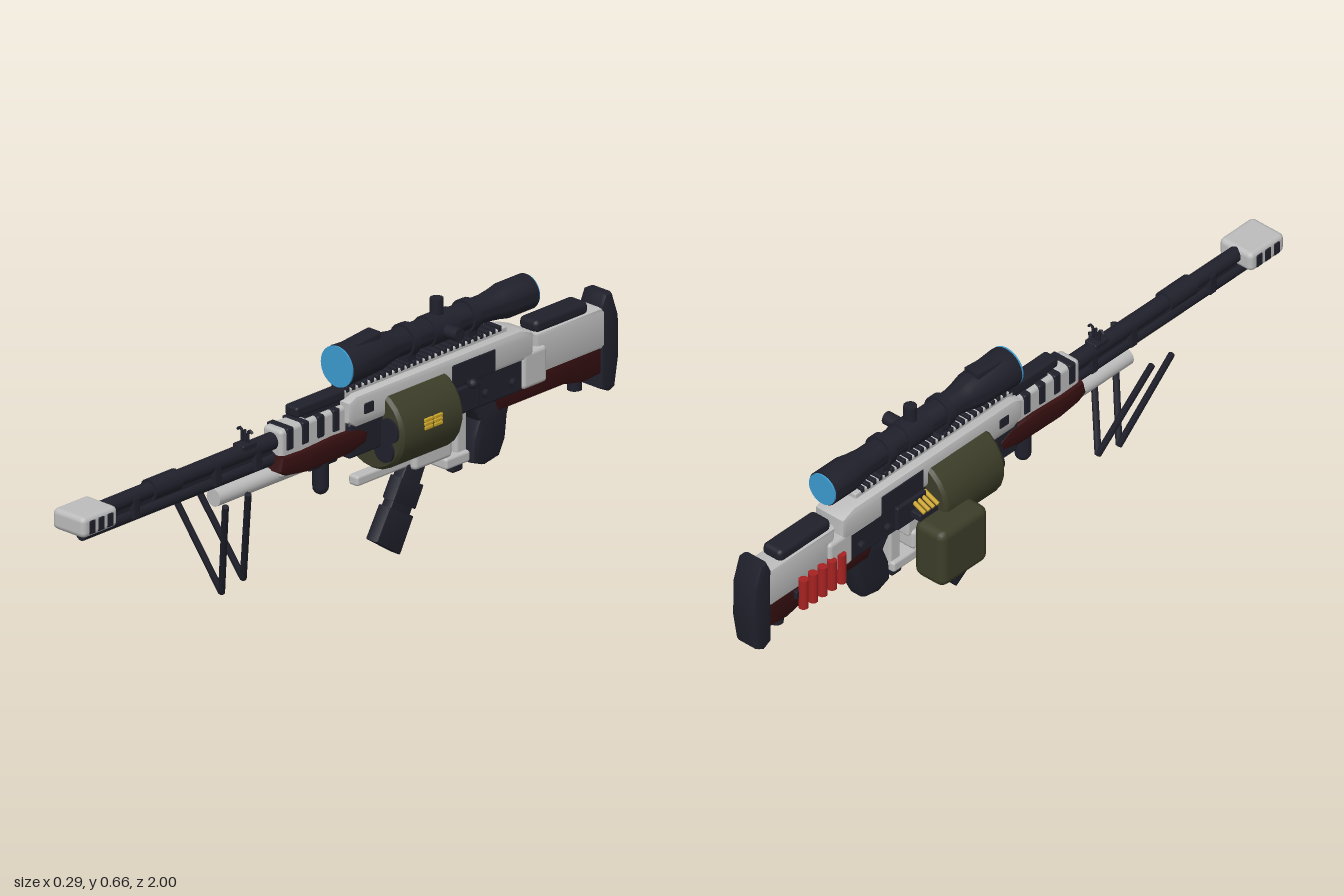
import * as THREE from 'three';
import { RoundedBoxGeometry } from 'three/addons/geometries/RoundedBoxGeometry.js';
import { toCreasedNormals } from 'three/addons/utils/BufferGeometryUtils.js';

const mat = (name, color) => {
  const m = new THREE.MeshStandardMaterial({ color });
  m.name = name;
  return m;
};

export function createModel() {
  const dark = mat('dark metal', 0x20202c);
  const white = mat('light grey shell', 0xbcbcbc);
  const green = mat('olive', 0x3c3d28);
  const wine = mat('dark red grip', 0x350f10);
  const red = mat('red shells', 0xa82222);
  const blue = mat('blue glass', 0x3c9bd0);
  const gold = mat('gold', 0xc9a227);

  const model = new THREE.Group();
  model.name = 'toyLongArm';
  const body = new THREE.Group();
  body.name = 'body';
  body.position.x = 0.026; // the centre line sits slightly to one side
  model.add(body);

  const add = (name, geo, m, x = 0, y = 0, z = 0) => {
    const mesh = new THREE.Mesh(geo, m);
    mesh.name = name;
    mesh.position.set(x, y, z);
    body.add(mesh);
    return mesh;
  };
  // rounded box from x centre, width, and y / z limits
  const box = (name, m, x, w, y0, y1, z0, z1, r = 0.008) => {
    const h = y1 - y0, d = Math.abs(z1 - z0);
    const rr = Math.min(r, w * 0.45, h * 0.45, d * 0.45);
    return add(name, new RoundedBoxGeometry(w, h, d, 2, rr), m, x, (y0 + y1) / 2, (z0 + z1) / 2);
  };
  // cylinder along z
  const tube = (name, m, y, z0, z1, r0, r1 = r0, x = 0, seg = 20) =>
    add(name, new THREE.CylinderGeometry(r1, r0, Math.abs(z1 - z0), seg).rotateX(Math.PI / 2), m, x, y, (z0 + z1) / 2);
  // side profile of [z, y] points, extruded across x with a bevel
  const slab = (name, m, w, pts, b = 0.008) => {
    const s = new THREE.Shape(pts.map(p => new THREE.Vector2(p[0], p[1])));
    const g = new THREE.ExtrudeGeometry(s, {
      depth: w - 2 * b, bevelThickness: b, bevelSize: b, bevelOffset: -b, bevelSegments: 2
    });
    g.translate(0, 0, b - w / 2).rotateY(-Math.PI / 2);
    return add(name, toCreasedNormals(g, 0.6), m);
  };
  // round rod between two points
  const rod = (name, m, a, b, r) => {
    const p = new THREE.Vector3(...a), q = new THREE.Vector3(...b);
    const mesh = add(name, new THREE.CylinderGeometry(r, r, p.distanceTo(q), 10), m);
    mesh.position.copy(p).add(q).multiplyScalar(0.5);
    mesh.quaternion.setFromUnitVectors(new THREE.Vector3(0, 1, 0), q.sub(p).normalize());
    return mesh;
  };

  // muzzle block with side slots
  box('muzzleBlock', white, 0, 0.114, 0.416, 0.474, 0.87, 1.0, 0.015);
  for (const s of [-1, 1])
    for (let i = 0; i < 3; i++) box('muzzleSlot', dark, s * 0.056, 0.007, 0.425, 0.462, 0.89 + i * 0.033, 0.912 + i * 0.033, 0.003);

  // front tubes
  tube('upperTube', dark, 0.45, 0.1, 0.88, 0.024, 0.021);
  tube('upperSleeve', dark, 0.45, 0.6, 0.7, 0.029);
  tube('lowerTube', dark, 0.403, 0.1, 0.95, 0.019);
  box('tubeBridge', dark, 0, 0.02, 0.4, 0.45, 0.25, 0.87, 0.004);
  tube('whiteTube', white, 0.356, 0.1, 0.46, 0.024);
  for (const z of [0.3, 0.45, 0.75]) box('tubeClamp', dark, 0, 0.046, 0.392, 0.458, z, z + 0.03);

  // front sight with curved guards
  box('sightBase', dark, 0, 0.04, 0.46, 0.476, 0.32, 0.37, 0.004);
  rod('sightPost', dark, [0, 0.47, 0.343], [0, 0.51, 0.343], 0.004);
  for (const s of [-1, 1]) {
    const c = new THREE.QuadraticBezierCurve3(
      new THREE.Vector3(s * 0.012, 0.47, 0.343), new THREE.Vector3(s * 0.006, 0.53, 0.343), new THREE.Vector3(s * 0.026, 0.505, 0.343));
    add('sightGuard', new THREE.TubeGeometry(c, 10, 0.004, 6), dark);
  }

  // struts that meet at the bottom
  for (const s of [-1, 1]) {
    rod('frontStrut', dark, [s * 0.1, 0.378, 0.52], [0, 0.085, 0.43], 0.009);
    rod('rearStrut', dark, [s * 0.104, 0.39, 0.44], [0, 0.1, 0.35], 0.009);
  }

  // fore-end
  box('foreShell', white, 0, 0.068, 0.35, 0.485, 0, 0.245, 0.012);
  slab('foreGrip', wine, 0.094, [[0.26, 0.375], [0.25, 0.415], [0.17, 0.412], [0.06, 0.418], [-0.03, 0.415],
    [-0.07, 0.395], [-0.06, 0.365], [0, 0.35], [0.16, 0.348], [0.23, 0.358]], 0.014);
  for (let i = 0; i < 4; i++) box('foreBand', dark, 0, 0.076, 0.425, 0.487, 0.03 + i * 0.057, 0.055 + i * 0.057, 0.005);
  box('foreRail', dark, 0, 0.046, 0.495, 0.525, -0.01, 0.175);
  box('railFoot', dark, 0, 0.036, 0.47, 0.5, 0.0, 0.14, 0.004);
  add('handKnob', new THREE.CapsuleGeometry(0.022, 0.07, 4, 12), dark, 0, 0.306, 0.064);
  tube('handKnobCollar', dark, 0.345, 0.02, 0.11, 0.02);

  // main housing
  slab('upperHousing', white, 0.1, [[0.01, 0.44], [0.01, 0.495], [-0.02, 0.508], [-0.63, 0.508], [-0.675, 0.49], [-0.675, 0.42], [-0.02, 0.42]], 0.012);
  box('lowerHousing', dark, 0, 0.084, 0.335, 0.432, -0.64, 0, 0.008);
  box('rearHousing', white, 0, 0.1, 0.338, 0.44, -0.725, -0.635, 0.012);
  for (const s of [-1, 1]) {
    box('sidePort', dark, s * 0.048, 0.009, 0.425, 0.487, -0.53, -0.37, 0.003);
    box('sideWindow', dark, s * 0.048, 0.009, 0.45, 0.48, -0.08, -0.045, 0.003);
    box('sidePlate', dark, s * 0.046, 0.014, 0.345, 0.415, -0.47, -0.36, 0.004);
    for (const z of [-0.39, -0.5, -0.6])
      add('pin', new THREE.CylinderGeometry(0.011, 0.011, 0.112, 10).rotateZ(Math.PI / 2), dark, 0, 0.372, z);
  }
  rod('sideHandle', dark, [0.03, 0.425, -0.43], [0.07, 0.425, -0.43], 0.008);
  add('sideHandleKnob', new THREE.SphereGeometry(0.014, 12, 8), dark, 0.066, 0.425, -0.43);

  // top rail
  box('railBase', white, 0, 0.05, 0.495, 0.522, -0.6, 0, 0.004);
  for (let i = 0; i < 26; i++) box('railTooth', dark, 0, 0.054, 0.515, 0.53, -0.016 - i * 0.0225, -0.004 - i * 0.0225, 0.002);

  // scope: turned body, rings, dials and glass
  const profile = [[0, 0], [0.056, 0], [0.057, -0.01], [0.05, -0.135], [0.042, -0.17], [0.037, -0.2], [0.037, -0.54],
    [0.042, -0.58], [0.048, -0.61], [0.048, -0.696], [0, -0.696]];
  // reversed order keeps the surface facing outwards
  const lathe = new THREE.LatheGeometry(profile.slice().reverse().map(p => new THREE.Vector2(p[0], p[1])), 32).rotateX(Math.PI / 2);
  add('scopeBody', toCreasedNormals(lathe, 0.6), dark, 0, 0.583, 0);
  slab('scopeHood', dark, 0.05, [[-0.005, 0.6], [-0.005, 0.632], [-0.135, 0.645], [-0.135, 0.6]], 0.006);
  tube('frontGlass', blue, 0.583, 0, 0.005, 0.056, 0.056, 0, 32);
  tube('rearGlass', blue, 0.583, -0.701, -0.695, 0.045, 0.045, 0, 32);
  for (const z of [-0.25, -0.475]) {
    tube('scopeRing', dark, 0.583, z - 0.012, z + 0.012, 0.045);
    box('ringFoot', dark, 0, 0.044, 0.518, 0.56, z - 0.018, z + 0.018, 0.004);
  }
  tube('scopeCollar', dark, 0.583, -0.41, -0.32, 0.042);
  rod('topDial', dark, [0, 0.6, -0.365], [0, 0.664, -0.365], 0.0185);
  rod('sideDial', dark, [0, 0.583, -0.365], [0.082, 0.583, -0.365], 0.0185);

  // drum with front lobes and label
  const drum = [[0, -0.115], [0.105, -0.115], [0.113, -0.105], [0.113, 0.105], [0.105, 0.115], [0, 0.115]];
  add('drum', toCreasedNormals(new THREE.LatheGeometry(drum.map(p => new THREE.Vector2(p[0], p[1])), 22).rotateX(Math.PI / 2), 0.5),
    green, 0, 0.375, -0.237);
  for (const deg of [-42, 10, 90, 170, 222]) {
    const a = deg * Math.PI / 180;
    tube('drumLobe', dark, 0.375 + Math.sin(a) * 0.068, -0.125, -0.115, 0.034, 0.034, Math.cos(a) * 0.068, 18);
  }
  for (let i = 0; i < 3; i++)
    for (const z of [-0.218, -0.253]) box('drumLabel', gold, 0.113, 0.008, 0.377 + i * 0.011, 0.386 + i * 0.011, z - 0.015, z + 0.015, 0.002);

  // side pouch and feed belt
  box('pouch', green, -0.119, 0.105, 0.19, 0.365, -0.43, -0.25, 0.024);
  for (let i = 0; i < 4; i++)
    rod('beltRound', gold, [-0.04, 0.405, -0.355 - i * 0.017], [-0.088, 0.385, -0.355 - i * 0.017], 0.006);
  box('beltTray', dark, -0.06, 0.05, 0.36, 0.382, -0.42, -0.34, 0.004);

  // lower guard and slanted foot
  box('guardBar', white, 0, 0.034, 0.235, 0.264, -0.3, -0.055);
  box('guardBlock', white, 0, 0.07, 0.225, 0.285, -0.39, -0.25, 0.012);
  box('guardNeck', white, 0, 0.05, 0.27, 0.35, -0.4, -0.3);
  box('guardRear', white, 0, 0.06, 0.19, 0.222, -0.46, -0.37);
  box('guardStem', white, 0, 0.036, 0.2, 0.34, -0.46, -0.42);
  box('guardCatch', dark, 0, 0.03, 0.165, 0.2, -0.45, -0.41);
  slab('slantedFoot', dark, 0.036, [[-0.315, 0.235], [-0.24, 0.245], [-0.135, 0.07], [-0.21, 0.018]], 0.006);
  slab('footBase', dark, 0.043, [[-0.26, 0.095], [-0.172, 0.145], [-0.123, 0.063], [-0.21, 0.003]], 0.006);
  slab('footBand', dark, 0.043, [[-0.298, 0.17], [-0.215, 0.215], [-0.184, 0.16], [-0.267, 0.112]], 0.006);

  // rear hand grip
  slab('handGrip', dark, 0.062, [[-0.46, 0.345], [-0.62, 0.345], [-0.6, 0.28], [-0.592, 0.215], [-0.57, 0.172],
    [-0.515, 0.162], [-0.47, 0.18], [-0.475, 0.24], [-0.495, 0.29]], 0.014);

  // rear frame, cheek pad and end plate
  slab('rearFrame', white, 0.08, [[-0.69, 0.475], [-0.955, 0.475], [-0.955, 0.36], [-0.7, 0.36]], 0.012);
  slab('rearGrip', wine, 0.074, [[-0.54, 0.345], [-0.7, 0.375], [-0.94, 0.375], [-0.94, 0.29], [-0.87, 0.285], [-0.8, 0.3], [-0.56, 0.3]], 0.012);
  box('cheekPad', dark, 0, 0.066, 0.468, 0.505, -0.895, -0.7, 0.014);
  slab('endPlate', dark, 0.084, [[-0.935, 0.25], [-0.935, 0.475], [-0.95, 0.508], [-0.975, 0.508], [-0.998, 0.44],
    [-1, 0.33], [-0.985, 0.245], [-0.965, 0.235]], 0.012);
  rod('rearFoot', dark, [0, 0.3, -0.875], [0, 0.258, -0.875], 0.02);

  // shells held on the side
  for (let i = 0; i < 5; i++) rod('sideShell', red, [-0.053, 0.305, -0.685 - i * 0.036], [-0.053, 0.395, -0.685 - i * 0.036], 0.0135);
  box('shellHolder', dark, -0.042, 0.012, 0.335, 0.36, -0.85, -0.665, 0.003);

  return model;
}
